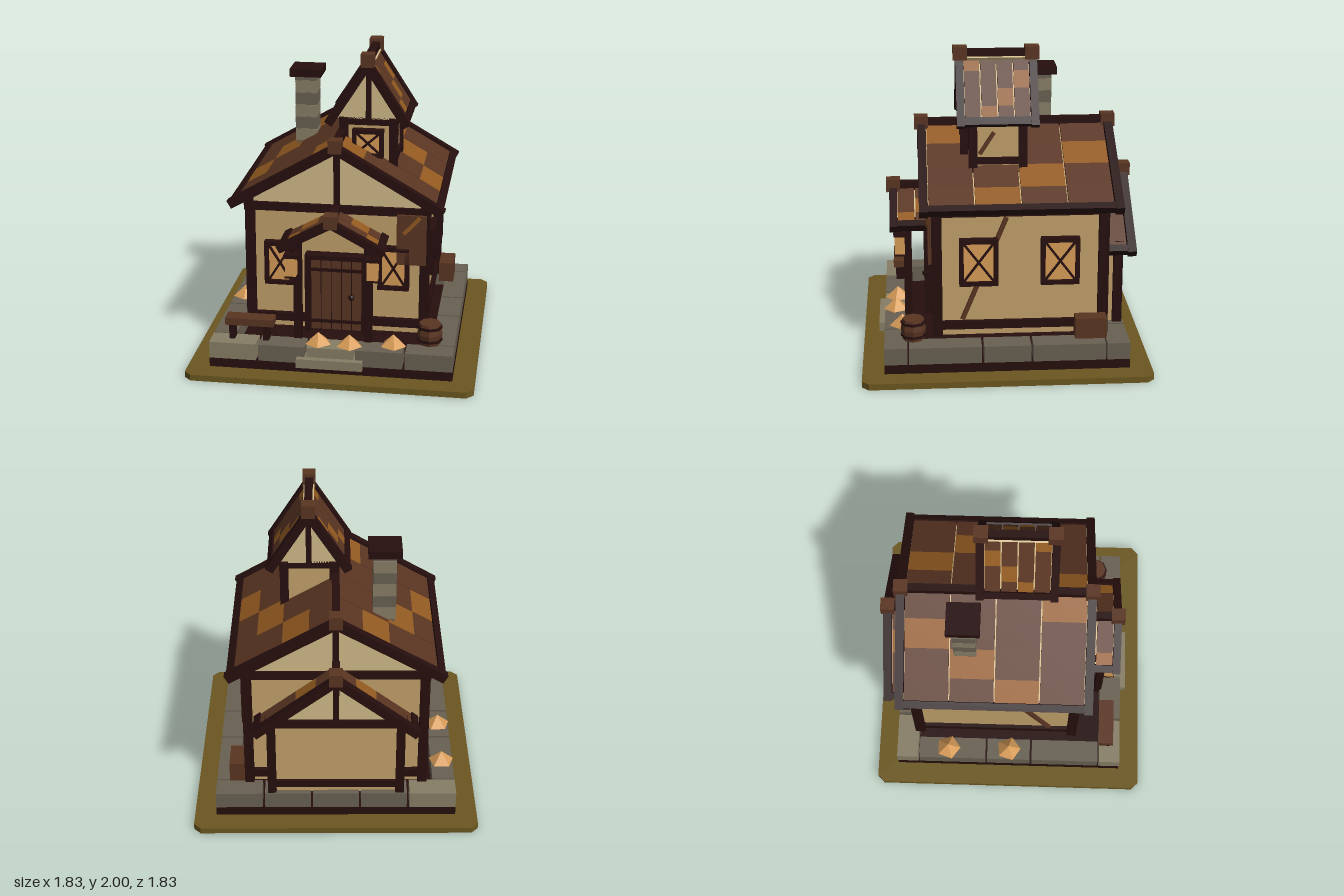
import * as THREE from 'three';

const mat = (name, color) => {
  const m = new THREE.MeshStandardMaterial({ color, flatShading: true });
  m.name = name;
  return m;
};

export function createModel() {
  const M = {
    grass: mat('grass', 0x6b5720), timber: mat('dark timber', 0x260f0e), wood: mat('brown wood', 0x5a3522),
    orange: mat('orange shingle', 0x925a20), wall: mat('tan wall', 0xc2a06a), plaster: mat('pale plaster', 0xd0ba88),
    stone: mat('grey stone', 0x686052), pale: mat('pale stone', 0x877e66), amber: mat('amber', 0xd89c58),
  };
  const model = new THREE.Group();

  const add = (name, geo, m, x, y, z, parent = model) => {
    const mesh = new THREE.Mesh(geo, m);
    mesh.name = name;
    mesh.position.set(x, y, z);
    parent.add(mesh);
    return mesh;
  };
  // box from its lower and upper corners
  const span = (name, m, x0, x1, y0, y1, z0, z1, parent) => add(name,
    new THREE.BoxGeometry(x1 - x0, y1 - y0, z1 - z0), m, (x0 + x1) / 2, (y0 + y1) / 2, (z0 + z1) / 2, parent);
  const group = (name, x = 0, y = 0, z = 0, parent = model) => {
    const g = new THREE.Group();
    g.name = name;
    g.position.set(x, y, z);
    parent.add(g);
    return g;
  };
  // bar lying in a local xy plane between two points
  const bar = (name, m, x0, y0, x1, y1, w, d, z, parent) => {
    const b = add(name, new THREE.BoxGeometry(Math.hypot(x1 - x0, y1 - y0), w, d), m, (x0 + x1) / 2, (y0 + y1) / 2, z, parent);
    b.rotation.z = Math.atan2(y1 - y0, x1 - x0);
    return b;
  };
  // triangular wall under a roof
  const gable = (name, cx, half, y0, y1, z, d = 0.03) => {
    const s = new THREE.Shape([[-half, y0], [half, y0], [0, y1]].map(p => new THREE.Vector2(...p)));
    add(name, new THREE.ExtrudeGeometry(s, { depth: d, bevelEnabled: false }), M.plaster, cx, 0, z - d / 2);
  };

  // pitched roof: shingles, underlay, barge boards, eaves, ridge and finials
  const roof = (name, o) => {
    const g = group(name, o.cx || 0, 0, 0);
    const rise = o.ridge - o.eave, a = Math.atan2(rise, o.half), len = Math.hypot(rise, o.half);
    const { z0, z1, barge: b } = o, t0 = z0 + (o.openBack ? 0 : b), t1 = z1 - (o.openFront ? 0 : b);
    const cw = (t1 - t0) / o.cols, cl = len / o.courses;
    for (const s of [-1, 1]) {
      const slab = (n, m, l, h, d, along, off, z) => {
        const k = add(n, new THREE.BoxGeometry(l, h, d), m, s * (along * Math.cos(a) + off * Math.sin(a)),
          o.ridge - along * Math.sin(a) + off * Math.cos(a), z, g);
        k.rotation.z = -s * a;
      };
      slab('underlay', M.plaster, len, 0.012, t1 - t0, len / 2, -0.035, (t0 + t1) / 2);
      for (let c = 0; c < o.cols; c++) for (let r = 0; r < o.courses; r++)
        slab('shingle', r === (c + 1) % o.courses ? M.orange : M.wood, cl, 0.028, cw - 0.008, (r + 0.5) * cl, -0.016, t0 + (c + 0.5) * cw);
      if (!o.openBack) slab('bargeBoard', M.timber, len + 0.02, o.thick, b, len / 2 + 0.01, -0.012, z0 + b / 2);
      if (!o.openFront) slab('bargeBoard', M.timber, len + 0.02, o.thick, b, len / 2 + 0.01, -0.012, z1 - b / 2);
      slab('eaveBoard', M.timber, 0.05, 0.05, z1 - z0 - 0.004, len - 0.015, -0.014, (z0 + z1) / 2);
    }
    span('ridgeBeam', M.timber, -0.025, 0.025, o.ridge - 0.03, o.ridge + 0.028, z0 + 0.003, z1 - 0.003, g);
    for (const z of o.finials) span('finial', M.wood, -0.042, 0.042, o.ridge - 0.035, o.ridge + 0.048, z - 0.045, z + 0.045, g);
  };

  // crossed window facing local +z
  const windowAt = (x, y, z, w, h, turn = 0) => {
    const g = group('window', x, y, z), f = 0.028, W = w / 2, H = h / 2;
    g.rotation.y = turn;
    span('pane', M.amber, -W + 0.01, W - 0.01, -H + 0.01, H - 0.01, 0, 0.03, g);
    for (const s of [-1, 1]) {
      add('frameSide', new THREE.BoxGeometry(f, h, 0.05), M.timber, s * (W - f / 2), 0, 0.025, g);
      add('frameRail', new THREE.BoxGeometry(w, f, 0.05), M.timber, 0, s * (H - f / 2), 0.025, g);
      bar('crossBar', M.timber, -W + f, -s * (H - f), W - f, s * (H - f), 0.014, 0.012, 0.034, g);
    }
  };

  // ground plate with cut corners
  const e = 0.915, c = 0.87;
  const plate = new THREE.Shape([[-e, -c], [-c, -e], [c, -e], [e, -c], [e, c], [c, e], [-c, e], [-e, c]].map(p => new THREE.Vector2(...p)));
  add('ground', new THREE.ExtrudeGeometry(plate, { depth: 0.04, bevelEnabled: false }), M.grass, 0, 0, 0).rotation.x = -Math.PI / 2;

  // footing and ring of stone blocks
  span('footing', M.timber, -0.775, 0.775, 0.04, 0.1, -0.775, 0.775);
  for (let i = 0; i < 5; i++) for (let j = 0; j < 5; j++) {
    if (i % 4 && j % 4) continue;
    const edge = k => k === 0 ? [-0.775, -0.63] : k === 4 ? [0.63, 0.775] : [-0.465 + (k - 1) * 0.31 + 0.007, -0.155 + (k - 1) * 0.31 - 0.007];
    const xs = edge(i), zs = edge(j);
    if (j % 4 === 0) { if (i === 0) xs[1] = -0.475; if (i === 4) xs[0] = 0.475; }
    else { if (j === 1) zs[0] = -0.62; if (j === 3) zs[1] = 0.62; }
    span('foundationStone', (i === 0 && j % 4 === 0) || (i === 2 && j === 4) ? M.pale : M.stone, xs[0], xs[1], 0.1, 0.21, zs[0], zs[1]);
  }
  span('doorStep', M.pale, -0.21, 0.21, 0.085, 0.145, 0.7, 0.815);

  // main walls and timber frame
  span('mainWalls', M.wall, -0.55, 0.55, 0.2, 1.06, -0.61, 0.43);
  for (const s of [-1, 1]) {
    for (const z of [-0.62, 0.435]) add('cornerPost', new THREE.BoxGeometry(0.06, 0.85, 0.065), M.timber, s * 0.56, 0.625, z);
    add('sideSill', new THREE.BoxGeometry(0.04, 0.055, 1.1), M.timber, s * 0.555, 0.272, -0.09);
    add('sidePlate', new THREE.BoxGeometry(0.06, 0.075, 1.12), M.timber, s * 0.565, 1.045, -0.09);
    const brace = group('sideBrace', s * 0.555, 0, 0);
    brace.rotation.y = s * Math.PI / 2;
    bar('diagonalBrace', M.wood, -s * 0.275, 0.31, s * 0.005, 0.99, 0.028, 0.03, 0, brace);
  }
  for (const z of [-0.615, 0.435]) {
    add('endSill', new THREE.BoxGeometry(1.12, 0.055, 0.05), M.timber, 0, 0.272, z);
    add('tieBeam', new THREE.BoxGeometry(1.18, 0.055, 0.065), M.timber, 0, 1.032, z);
    add('kingPost', new THREE.BoxGeometry(0.04, 0.36, 0.06), M.timber, 0, 1.22, z);
    gable('mainGable', 0, 0.58, 1.06, 1.41, z);
  }
  roof('mainRoof', { half: 0.665, ridge: 1.46, eave: 1.075, z0: -0.73, z1: 0.54, barge: 0.055, thick: 0.058, cols: 4, courses: 4, finials: [-0.7, 0.515] });

  // windows of the house
  for (const s of [-1, 1]) windowAt(s * 0.365, 0.655, 0.44, 0.2, 0.29);
  for (const z of [0.172, -0.343]) windowAt(0.56, 0.705, z, 0.245, 0.31, Math.PI / 2);

  // patch boards on the front wall
  span('patchBoard', M.wood, 0.385, 0.572, 0.69, 1.02, 0.44, 0.49);
  bar('patchStrip', M.orange, 0.43, 0.9, 0.53, 1.01, 0.025, 0.012, 0.494, model);

  // plank door
  const door = group('door', 0, 0, 0.46);
  span('doorBacking', M.timber, -0.2, 0.2, 0.2, 0.73, -0.03, 0.012, door);
  for (let i = 0; i < 5; i++) add('doorPlank', new THREE.BoxGeometry(0.058, 0.48, 0.03), M.wood, (i - 2) * 0.066, 0.455, 0.015, door);
  for (const y of [0.275, 0.63]) add('doorBand', new THREE.BoxGeometry(0.33, 0.02, 0.012), M.timber, 0, y, 0.034, door);
  for (const s of [-1, 1]) add('doorJamb', new THREE.BoxGeometry(0.035, 0.53, 0.06), M.timber, s * 0.183, 0.465, 0.02, door);
  add('doorLintel', new THREE.BoxGeometry(0.4, 0.03, 0.06), M.timber, 0, 0.715, 0.02, door);
  add('doorKnob', new THREE.SphereGeometry(0.02, 8, 6), M.timber, 0.1, 0.45, 0.045, door);

  // porch with posts and lanterns
  roof('porchRoof', { half: 0.32, ridge: 1.035, eave: 0.862, z0: 0.45, z1: 0.73, barge: 0.05, thick: 0.05, cols: 2, courses: 3, openBack: true, finials: [0.705] });
  for (const s of [-1, 1]) {
    add('porchPost', new THREE.BoxGeometry(0.05, 0.7, 0.05), M.timber, s * 0.225, 0.51, 0.617);
    add('porchBeam', new THREE.BoxGeometry(0.05, 0.05, 0.27), M.timber, s * 0.235, 0.86, 0.585);
    const lamp = group('lantern', s * 0.257, 0, 0.667);
    add('lanternGlass', new THREE.BoxGeometry(0.068, 0.125, 0.064), M.amber, 0, 0.717, 0, lamp);
    add('lanternCap', new THREE.BoxGeometry(0.085, 0.025, 0.08), M.timber, 0, 0.79, 0, lamp);
    add('lanternBase', new THREE.BoxGeometry(0.075, 0.012, 0.07), M.timber, 0, 0.65, 0, lamp);
    add('lanternHook', new THREE.BoxGeometry(0.02, 0.06, 0.02), M.timber, 0, 0.83, 0, lamp);
  }

  // rear extension
  span('rearWalls', M.wall, -0.41, 0.41, 0.2, 0.76, -0.735, -0.6);
  for (const s of [-1, 1]) add('rearPost', new THREE.BoxGeometry(0.055, 0.58, 0.06), M.timber, s * 0.41, 0.49, -0.735);
  add('rearSill', new THREE.BoxGeometry(0.82, 0.05, 0.05), M.timber, 0, 0.272, -0.73);
  add('rearBeam', new THREE.BoxGeometry(0.9, 0.055, 0.06), M.timber, 0, 0.745, -0.735);
  add('rearKingPost', new THREE.BoxGeometry(0.04, 0.32, 0.06), M.timber, 0, 0.92, -0.735);
  gable('rearGable', 0, 0.43, 0.76, 1.07, -0.73);
  roof('rearRoof', { half: 0.505, ridge: 1.12, eave: 0.73, z0: -0.84, z1: -0.65, barge: 0.055, thick: 0.055, cols: 1, courses: 4, openFront: true, finials: [-0.81] });

  // roof turret
  const tx = 0.17, tz = 0.035;
  span('turretWalls', M.wall, tx - 0.165, tx + 0.165, 1.2, 1.56, tz - 0.165, tz + 0.165);
  for (const s of [-1, 1]) {
    for (const q of [-1, 1]) add('turretPost', new THREE.BoxGeometry(0.055, 0.36, 0.055), M.timber, tx + s * 0.158, 1.385, tz + q * 0.158);
    add('turretSideBeam', new THREE.BoxGeometry(0.055, 0.05, 0.42), M.timber, tx + s * 0.16, 1.545, tz);
    add('turretSideSill', new THREE.BoxGeometry(0.04, 0.045, 0.32), M.timber, tx + s * 0.16, 1.295, tz);
    add('turretEndBeam', new THREE.BoxGeometry(0.37, 0.05, 0.05), M.timber, tx, 1.545, tz + s * 0.16);
    add('turretKingPost', new THREE.BoxGeometry(0.035, 0.36, 0.05), M.timber, tx, 1.72, tz + s * 0.17);
    gable('turretGable', tx, 0.2, 1.56, 1.89, tz + s * 0.17);
    const brace = group('turretBrace', tx + s * 0.168, 0, 0);
    brace.rotation.y = s * Math.PI / 2;
    bar('diagonalBrace', M.wood, -s * 0.15, 1.34, -s * 0.06, 1.48, 0.025, 0.02, 0, brace);
  }
  windowAt(tx, 1.41, 0.22, 0.2, 0.185);
  roof('turretRoof', { cx: tx, half: 0.25, ridge: 1.95, eave: 1.56, z0: -0.22, z1: 0.295, barge: 0.05, thick: 0.055, cols: 4, courses: 4, finials: [-0.19, 0.265] });

  // chimney in courses
  for (let i = 0; i < 6; i++)
    add('chimneyCourse', new THREE.BoxGeometry(0.145, 0.08, 0.145), i % 2 ? M.stone : M.pale, -0.305, 1.31 + i * 0.083, -0.285);
  span('chimneyCore', M.stone, -0.37, -0.24, 1.2, 1.74, -0.35, -0.22);
  span('chimneyCap', M.timber, -0.41, -0.2, 1.715, 1.767, -0.39, -0.18);

  // bench, barrel and crate
  span('benchSeat', M.wood, -0.68, -0.37, 0.31, 0.357, 0.62, 0.72);
  for (const x of [-0.64, -0.42]) span('benchLeg', M.timber, x - 0.018, x + 0.018, 0.2, 0.31, 0.635, 0.705);
  const profile = [[0, 0], [0.068, 0], [0.08, 0.07], [0.068, 0.14], [0, 0.14]].map(p => new THREE.Vector2(...p));
  add('barrel', new THREE.LatheGeometry(profile, 8), M.wood, 0.615, 0.21, 0.59);
  for (const y of [0.24, 0.325]) add('barrelHoop', new THREE.CylinderGeometry(0.08, 0.08, 0.016, 8), M.timber, 0.615, y, 0.59);
  span('crate', M.wood, 0.59, 0.69, 0.21, 0.345, -0.635, -0.435);

  // small faceted leaf piles
  [[-0.7, -0.42], [-0.7, 0], [-0.085, 0.69], [0.115, 0.7], [0.39, 0.66]].forEach(([x, z], i) => {
    add('leafPile', new THREE.ConeGeometry(0.085, 0.075, 5), M.amber, x, 0.247, z).rotation.y = i * 1.3;
  });

  return model;
}
